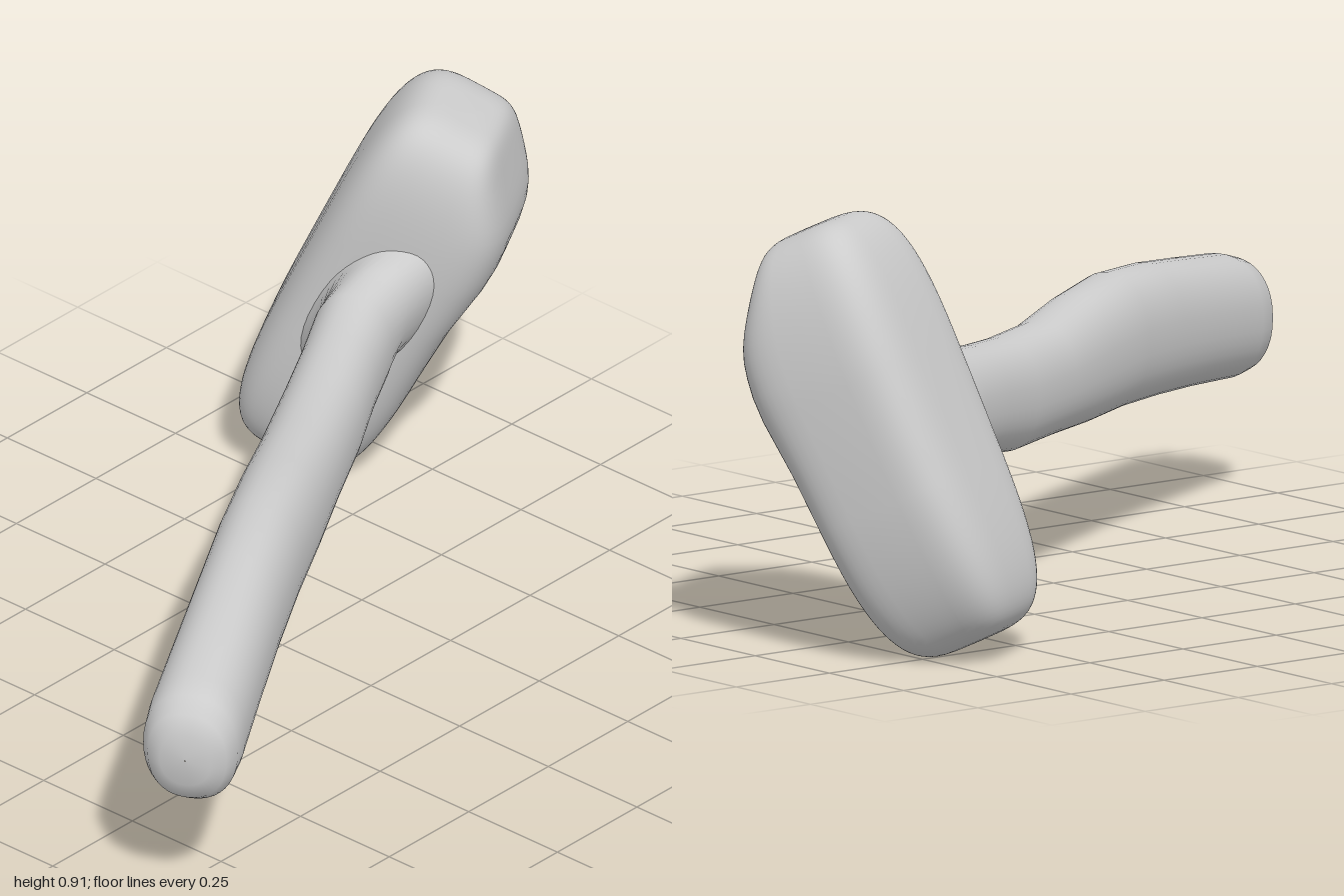
import * as THREE from 'three';

const material = new THREE.MeshStandardMaterial({ color: 0xcccccc });
const signedPow = (v, p) => Math.sign(v) * Math.pow(Math.abs(v), p);
const TILT = THREE.MathUtils.degToRad(25.5);

// Skin closed rings [height, centreX, radiusX, radiusZ]; power below 1 squares the section
function loft(rings, power, sides) {
  const positions = [], index = [];
  rings.forEach(([y, cx, rx, rz], i) => {
    for (let j = 0; j < sides; j++) {
      const a = (j / sides) * Math.PI * 2;
      positions.push(cx + rx * signedPow(Math.cos(a), power), y, rz * signedPow(Math.sin(a), power));
      if (i === rings.length - 1) continue;
      const p = i * sides + j, q = i * sides + (j + 1) % sides;
      index.push(p, p + sides, q, q, p + sides, q + sides);
    }
  });
  const geometry = new THREE.BufferGeometry();
  geometry.setAttribute('position', new THREE.Float32BufferAttribute(positions, 3));
  geometry.setIndex(index);
  return geometry;
}

// Move each vertex sideways by a rule (x, y, z) => new z
function reshapeZ(geometry, rule) {
  const p = geometry.attributes.position;
  for (let i = 0; i < p.count; i++) p.setZ(i, rule(p.getX(i), p.getY(i), p.getZ(i)));
  geometry.computeVertexNormals();
  return geometry;
}

// Gently wavy oval handle: [along, centre height, half height, half width]
function makeHandle() {
  const stations = [
    [-1.135, 0.375, 0.001, 0.001], [-1.133, 0.375, 0.06, 0.055], [-1.115, 0.375, 0.1, 0.085],
    [-1.08, 0.378, 0.125, 0.102], [-1.02, 0.385, 0.134, 0.105], [-0.8, 0.41, 0.138, 0.1],
    [-0.6, 0.43, 0.143, 0.096], [-0.4, 0.443, 0.145, 0.095], [-0.2, 0.438, 0.138, 0.095],
    [0, 0.43, 0.122, 0.092], [0.2, 0.432, 0.122, 0.09], [0.35, 0.447, 0.117, 0.086],
    [0.48, 0.457, 0.122, 0.087], [0.55, 0.465, 0.136, 0.096], [0.6, 0.468, 0.163, 0.115],
    [0.64, 0.468, 0.2, 0.13], [0.72, 0.468, 0.2, 0.13], [0.72, 0.468, 0.001, 0.001],
  ];
  const geometry = loft(stations.map(([t, y, ry, rw]) => [t, -y, ry, rw]), 0.9, 40);
  geometry.rotateZ(-Math.PI / 2);
  // The grip drifts outward, and the neck leans to meet the tilted head
  reshapeZ(geometry, (x, y, z) => z + 0.018 * Math.max(0, -x)
    + (y - 0.45) * Math.tan(TILT) * THREE.MathUtils.smoothstep(x, 0.48, 0.62));
  const mesh = new THREE.Mesh(geometry, material);
  mesh.name = 'handle';
  mesh.position.z = 0.037;
  return mesh;
}

// Rounded block head, its outer side bulging at mid height
function makeHead() {
  const rings = [], steps = 40, half = 0.47;
  for (let i = 0; i <= steps; i++) {
    const a = (i / steps) * Math.PI;
    const t = -signedPow(Math.cos(a), 0.5);
    const r = Math.max(Math.pow(Math.sin(a), 0.5), 0.001);
    const near = 0.605 - 0.025 * t;
    const far = 1.04 - 0.05 * t * t;
    rings.push([half * t, (near + far) / 2, r * (far - near) / 2, r * (0.172 + 0.006 * t)]);
  }
  // Front side swells above the middle and is bevelled toward the top
  const geometry = reshapeZ(loft(rings, 0.5, 56), (x, y, z) => {
    if (z <= 0) return z;
    const t = y / half;
    return z * (1.02 + 0.13 * Math.exp(-(((t - 0.38) / 0.3) ** 2))
      - 0.35 * THREE.MathUtils.smoothstep(t, 0.55, 1));
  });
  const mesh = new THREE.Mesh(geometry, material);
  mesh.name = 'head';
  mesh.position.set(0, 0.451, 0.03);
  mesh.rotation.x = TILT;
  return mesh;
}

export function createModel() {
  const model = new THREE.Group();
  const hammer = new THREE.Group();
  hammer.name = 'hammer';
  hammer.rotation.y = 0.5;
  hammer.add(makeHandle(), makeHead());
  model.add(hammer);
  return model;
}
